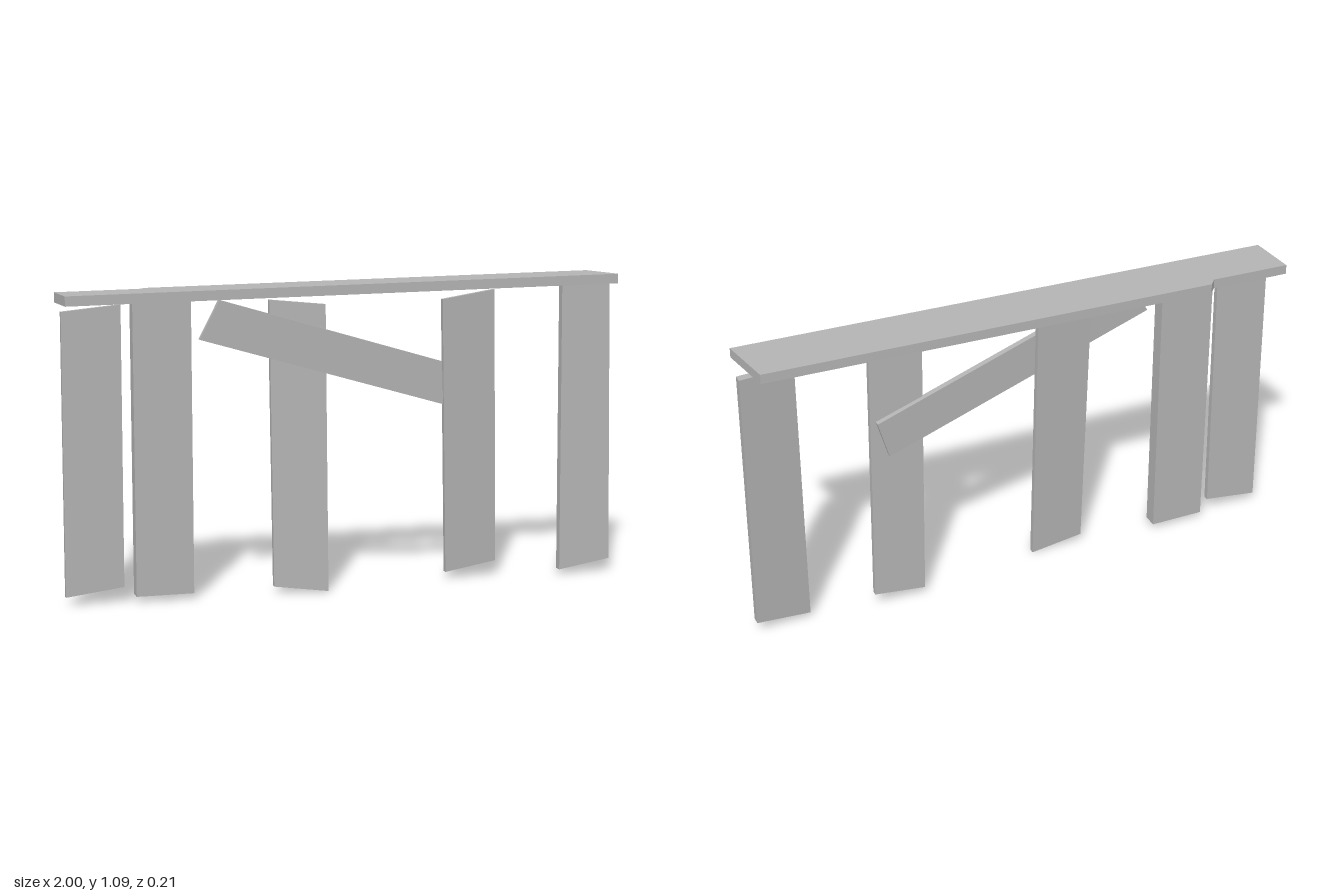
import * as THREE from 'three';

const wood = new THREE.MeshStandardMaterial({ color: 0xb3b3b3 });
wood.name = 'weathered grey';

function outline(points) {
  return new THREE.Shape(points.map(([x, y]) => new THREE.Vector2(x, y)));
}

// Board with a crooked outline; its front face leans from zBottom (y = 0)
// to zTop (y = 1) and turns by yaw across its width.
function board(name, points, { zBottom, zTop, thickness, yaw = 0 }) {
  const geometry = new THREE.ExtrudeGeometry(outline(points), { depth: thickness, bevelEnabled: false });
  const middle = points.reduce((sum, p) => sum + p[0], 0) / points.length;
  const pos = geometry.attributes.position;
  for (let i = 0; i < pos.count; i++) {
    const front = zBottom + (zTop - zBottom) * pos.getY(i) + yaw * (pos.getX(i) - middle);
    pos.setZ(i, front - thickness + pos.getZ(i));
  }
  geometry.computeVertexNormals();
  const mesh = new THREE.Mesh(geometry, wood);
  mesh.name = name;
  return mesh;
}

// Top rail: plan outline with a chipped back corner, rising towards +x
function topRail() {
  const plan = [[-0.99, 0.1], [0.98, 0.1], [0.945, -0.105], [-0.685, -0.108], [-0.71, -0.08], [-1, -0.08]];
  const geometry = new THREE.ExtrudeGeometry(outline(plan.map(([x, z]) => [x, -z])), {
    depth: 0.034, bevelEnabled: false,
  });
  geometry.rotateX(-Math.PI / 2);
  const pos = geometry.attributes.position;
  for (let i = 0; i < pos.count; i++) {
    pos.setY(i, pos.getY(i) + 1.02 + 0.0175 * (pos.getX(i) + 1));
  }
  geometry.computeVertexNormals();
  const mesh = new THREE.Mesh(geometry, wood);
  mesh.name = 'topRail';
  return mesh;
}

export function createModel() {
  const group = new THREE.Group();
  group.name = 'brokenFence';
  group.add(
    topRail(),
    // Upright planks from -x to +x
    board('plank1', [[-1, 0.03], [-0.8, 0.055], [-0.8, 1.02], [-1, 1]],
      { zBottom: 0.052, zTop: 0.068, thickness: 0.02 }),
    board('plank2', [[-0.76, 0.02], [-0.56, 0.02], [-0.56, 1.03], [-0.76, 1.03]],
      { zBottom: 0.064, zTop: 0.064, thickness: 0.052 }),
    board('plank3', [[-0.28, 0.028], [-0.085, 0], [-0.08, 1], [-0.28, 1.02]],
      { zBottom: 0.08, zTop: 0.03, thickness: 0.02 }),
    board('plank4', [[0.37, 0.025], [0.562, 0.055], [0.53, 1.04], [0.335, 1.01]],
      { zBottom: 0.007, zTop: 0.057, thickness: 0.02, yaw: -0.05 }),
    board('plank5', [[0.79, 0.018], [0.99, 0.045], [1, 1.05], [0.81, 1.05]],
      { zBottom: 0.051, zTop: -0.008, thickness: 0.03, yaw: -0.08 }),
    // Fallen diagonal board, between the third and fourth planks
    board('diagonalBrace', [[-0.54, 0.898], [0.48, 0.598], [0.52, 0.737], [-0.47, 1.03]],
      { zBottom: 0.064, zTop: 0.064, thickness: 0.022, yaw: -0.079 }),
  );
  return group;
}
